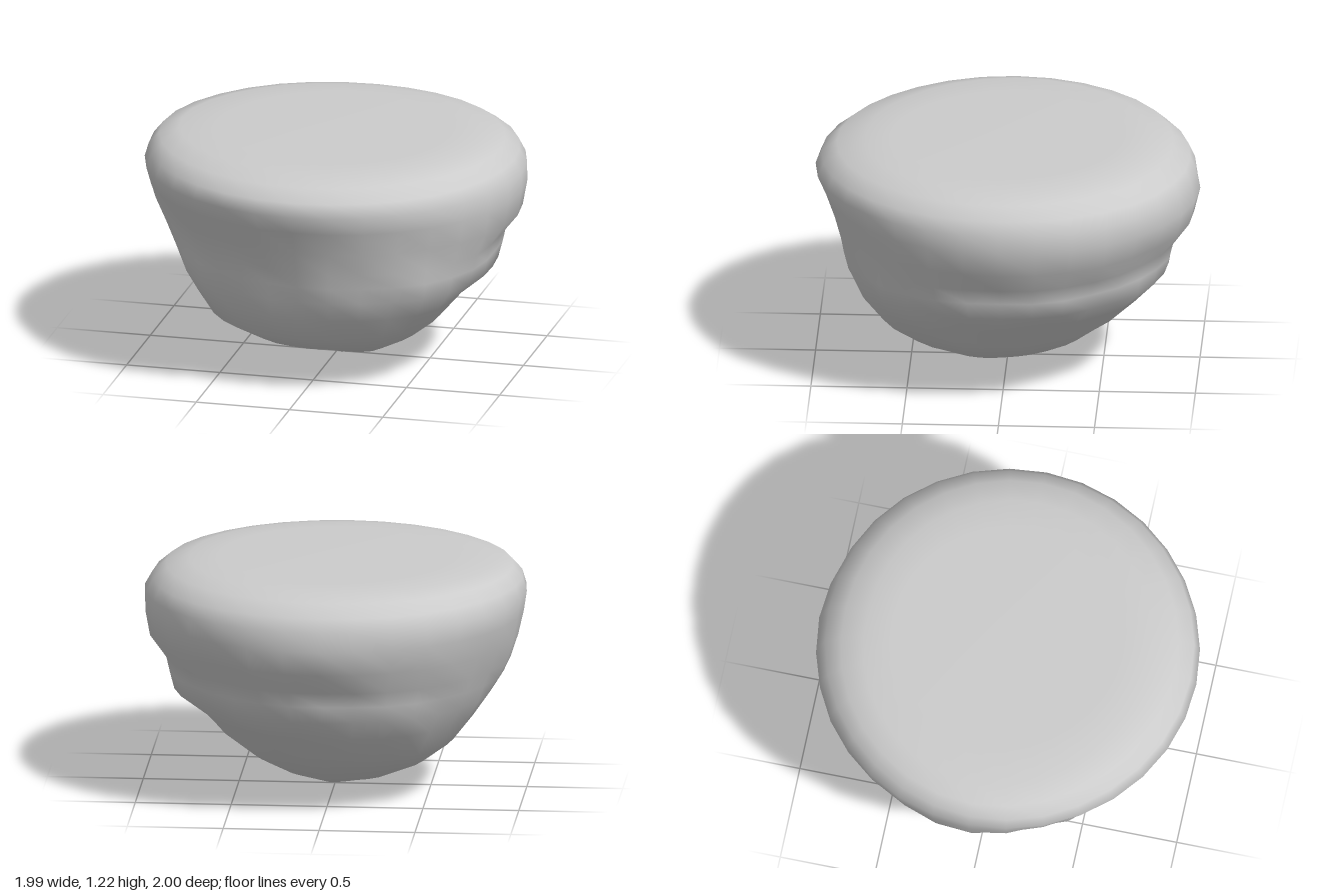
import * as THREE from 'three';

const SEGMENTS = 32;

// Ring heights from rim to underside, with radii in eight compass directions:
// +x, +x+z, +z, -x+z, -x, -x-z, -z, +x-z
const rings = [
  [1.22, [0.60, 0.60, 0.60, 0.60, 0.62, 0.60, 0.60, 0.60]],
  [1.21, [0.76, 0.76, 0.74, 0.77, 0.83, 0.79, 0.74, 0.75]],
  [1.18, [0.88, 0.88, 0.89, 0.90, 0.93, 0.90, 0.86, 0.87]],
  [1.12, [0.95, 0.96, 0.97, 0.97, 0.98, 0.96, 0.95, 0.96]],
  [1.05, [0.99, 0.99, 1.00, 1.00, 1.00, 1.00, 0.98, 0.99]],
  [0.95, [0.99, 0.975, 0.95, 0.96, 0.985, 0.99, 1.00, 1.00]],
  [0.82, [0.97, 0.94, 0.90, 0.88, 0.955, 0.95, 0.97, 0.96]],
  [0.70, [0.88, 0.91, 0.86, 0.84, 0.91, 0.90, 0.88, 0.87]],
  [0.62, [0.86, 0.895, 0.84, 0.83, 0.87, 0.87, 0.86, 0.85]],
  [0.53, [0.84, 0.87, 0.82, 0.82, 0.82, 0.84, 0.84, 0.83]],
  [0.42, [0.70, 0.80, 0.78, 0.77, 0.74, 0.77, 0.74, 0.71]],
  [0.28, [0.58, 0.67, 0.69, 0.69, 0.63, 0.67, 0.60, 0.57]],
  [0.18, [0.45, 0.53, 0.53, 0.51, 0.50, 0.53, 0.46, 0.44]],
  [0.10, [0.30, 0.36, 0.27, 0.29, 0.28, 0.36, 0.33, 0.29]],
  [0.05, [0.14, 0.16, 0.12, 0.15, 0.18, 0.17, 0.18, 0.14]],
];

// Periodic smooth interpolation around the eight directions
function radiusAt(radii, turn) {
  const f = turn * 8, i = Math.floor(f), t = f - i;
  const [a, b, c, d] = [-1, 0, 1, 2].map((k) => radii[(i + k + 8) % 8]);
  return b + 0.5 * t * (c - a + t * (2 * a - 5 * b + 4 * c - d + t * (3 * (b - c) + d - a)));
}

// Gentle weathering, strongest on the flanks and absent at the rim
function weathering(angle, y) {
  const fade = Math.max(0, Math.sin(Math.PI * Math.min(1, y)));
  return fade * (0.007 * Math.sin(angle * 7 + y * 6) + 0.006 * Math.sin(angle * 11 - y * 13));
}

function rockGeometry() {
  const positions = [0, 1.22, 0];
  const index = [];
  for (const [y, radii] of rings) {
    for (let j = 0; j < SEGMENTS; j++) {
      const angle = (j / SEGMENTS) * Math.PI * 2;
      const r = radiusAt(radii, j / SEGMENTS) + weathering(angle, y);
      positions.push(r * Math.cos(angle), y, r * Math.sin(angle));
    }
  }
  const tip = positions.length / 3;
  positions.push(0.03, 0, 0.01);

  const at = (ring, j) => 1 + ring * SEGMENTS + (j % SEGMENTS);
  const last = rings.length - 1;
  for (let j = 0; j < SEGMENTS; j++) {
    index.push(0, at(0, j + 1), at(0, j));
    for (let i = 0; i < last; i++) {
      index.push(at(i, j), at(i, j + 1), at(i + 1, j));
      index.push(at(i, j + 1), at(i + 1, j + 1), at(i + 1, j));
    }
    index.push(tip, at(last, j), at(last, j + 1));
  }
  const geometry = new THREE.BufferGeometry();
  geometry.setAttribute('position', new THREE.Float32BufferAttribute(positions, 3));
  geometry.setIndex(index);
  geometry.computeVertexNormals();
  return geometry;
}

export function createModel() {
  const group = new THREE.Group();
  group.name = 'floatingRock';
  // Flat-topped boulder tapering to a point
  const rock = new THREE.Mesh(rockGeometry(), new THREE.MeshStandardMaterial({ color: 0xcccccc }));
  rock.name = 'rock';
  group.add(rock);
  return group;
}
